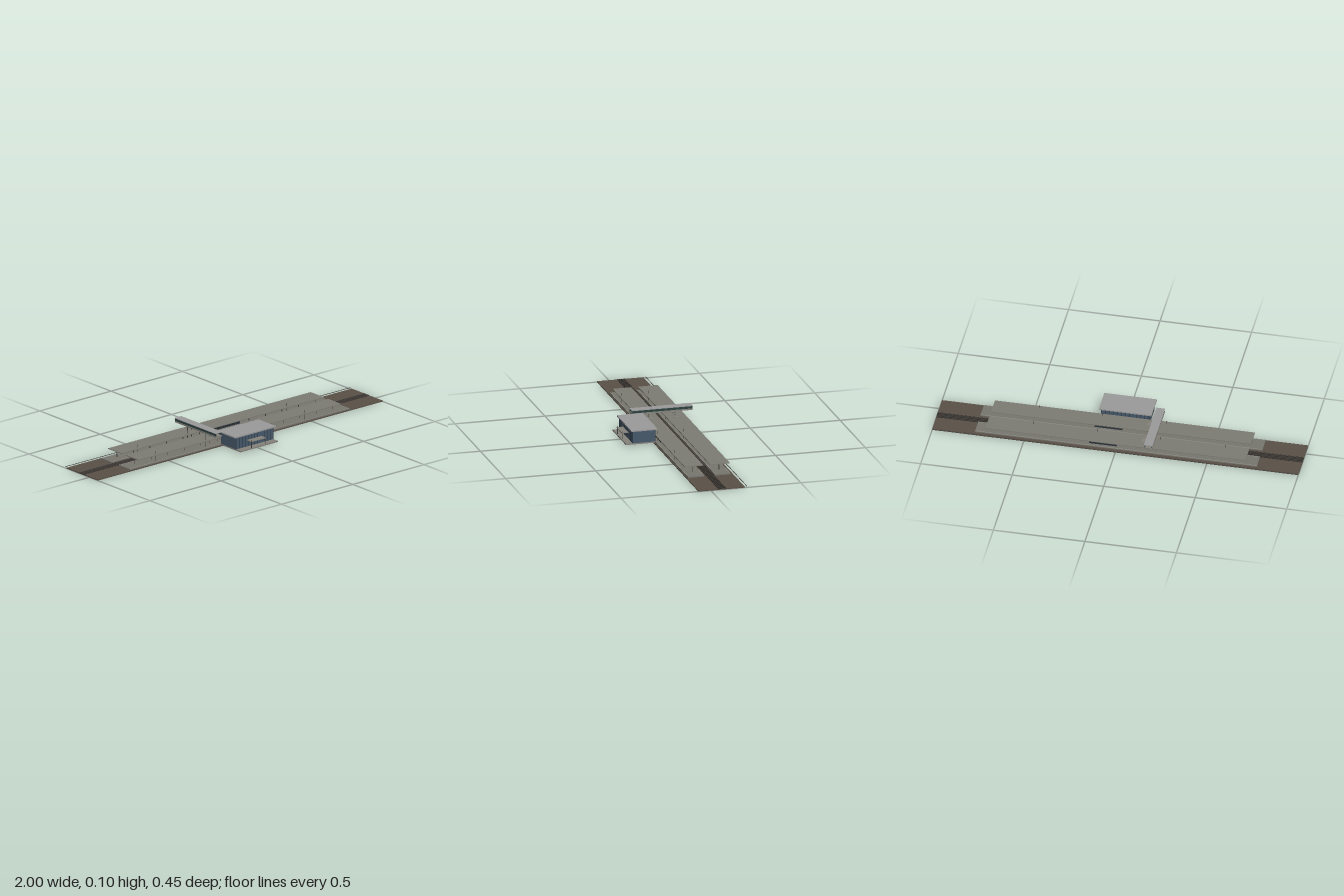
import * as THREE from 'three';

const paint = {
  ballast: 0x5a5046, bed: 0x2d2925, steel: 0x4a4744, platform: 0x77766f, edge: 0x8f8e86,
  canopy: 0x7d7d74, concrete: 0x85837c, roof: 0x9b9b9b, glass: 0x46596b, frame: 0x2f3a44,
  dark: 0x2a343b, green: 0x2c4240,
};
const mats = {};
for (const k in paint) mats[k] = new THREE.MeshStandardMaterial({ color: paint[k] });

// Box given by its limits on each axis
function block(parent, name, mat, [x0, x1], [y0, y1], [z0, z1]) {
  const m = new THREE.Mesh(new THREE.BoxGeometry(x1 - x0, y1 - y0, z1 - z0), mats[mat]);
  m.position.set((x0 + x1) / 2, (y0 + y1) / 2, (z0 + z1) / 2);
  m.name = name;
  parent.add(m);
  return m;
}

// Slim round post
function post(parent, name, x, z, y0, y1, r) {
  const m = new THREE.Mesh(new THREE.CylinderGeometry(r, r, y1 - y0, 8), mats.steel);
  m.position.set(x, (y0 + y1) / 2, z);
  m.name = name;
  parent.add(m);
}

function group(parent, name) {
  const g = new THREE.Group();
  g.name = name;
  parent.add(g);
  return g;
}

function buildTracks(parent) {
  const g = group(parent, 'tracks');
  block(g, 'ballast', 'ballast', [-1, 1], [0, 0.005], [-0.188, 0.07]);
  block(g, 'trackBed', 'bed', [-1, 1], [0.004, 0.0056], [-0.085, -0.04]);
  for (const z of [-0.079, -0.068, -0.057, -0.046])
    block(g, 'rail', 'steel', [-1, 1], [0.005, 0.0075], [z - 0.001, z + 0.001]);
  block(g, 'boundaryRail', 'steel', [-1, 1], [0.006, 0.0085], [-0.201, -0.199]);
}

// Platform with canopy, columns, lamps, shelter and stair
function buildPlatform(parent, name, base, cover, mid, lampZ) {
  const g = group(parent, name);
  block(g, 'platformSlab', 'platform', [-0.77, 0.77], [0.004, 0.012], base);
  for (const z of [base[0] + 0.002, base[1] - 0.002])
    block(g, 'platformEdge', 'edge', [-0.77, 0.77], [0.011, 0.0125], [z - 0.002, z + 0.002]);
  block(g, 'canopy', 'canopy', [-0.71, 0.71], [0.047, 0.051], cover);
  for (let i = 0; i < 13; i++)
    post(g, 'canopyColumn', -0.695 + i * 0.1158, mid, 0.012, 0.048, 0.0018);
  for (const x of [-0.58, -0.23, 0.117, 0.464]) post(g, 'lampPost', x, lampZ, 0.012, 0.067, 0.0012);

  // Waiting shelter
  block(g, 'shelter', 'dark', [0, 0.15], [0.012, 0.036], [mid - 0.023, mid + 0.023]);
  block(g, 'shelterRoof', 'concrete', [-0.002, 0.152], [0.036, 0.039], [mid - 0.024, mid + 0.024]);

  // Stair from the footbridge down to the platform
  const stair = group(g, 'stair');
  for (let i = 0; i < 10; i++) {
    const x = -0.168 + i * 0.0088, y = 0.074 - i * 0.0066;
    block(stair, 'stairTread', 'concrete', [x, x + 0.0095], [y - 0.0025, y], [mid - 0.018, mid + 0.018]);
  }
  for (const x of [-0.2, -0.173]) post(g, 'footbridgeLeg', x, mid, 0.012, 0.076, 0.002);
}

function buildFootbridge(parent) {
  const g = group(parent, 'footbridge');
  const z = [-0.227, 0.112];
  block(g, 'bridgeDeck', 'concrete', [-0.208, -0.165], [0.075, 0.083], z);
  for (const x of [-0.206, -0.169])
    block(g, 'bridgeSide', 'green', [x, x + 0.002], [0.083, 0.095], z);
  for (let i = 0; i < 8; i++)
    for (const x of [-0.205, -0.168])
      post(g, 'bridgeRoofPost', x, -0.222 + i * 0.047, 0.083, 0.098, 0.001);
  block(g, 'bridgeRoof', 'roof', [-0.21, -0.163], [0.097, 0.1], z);
}

function buildStation(parent) {
  const g = group(parent, 'stationBuilding');
  block(g, 'plinth', 'concrete', [-0.132, 0.13], [0.007, 0.014], [0.06, 0.227]);
  block(g, 'glassHall', 'glass', [-0.132, 0.13], [0.014, 0.081], [0.065, 0.19]);
  block(g, 'hallRoof', 'roof', [-0.147, 0.14], [0.081, 0.088], [0.055, 0.2]);
  for (let i = 0; i <= 12; i++) {
    const x = -0.131 + i * 0.02167;
    for (const z of [0.065, 0.19])
      block(g, 'mullion', 'frame', [x - 0.0012, x + 0.0012], [0.014, 0.081], [z - 0.001, z + 0.001]);
  }
  // Entrance porch
  block(g, 'porchRoof', 'concrete', [-0.055, 0.047], [0.047, 0.051], [0.188, 0.227]);
  for (const x of [-0.052, 0.044]) post(g, 'porchPost', x, 0.223, 0.014, 0.055, 0.0018);
}

export function createModel() {
  const model = new THREE.Group();
  model.name = 'railwayStation';
  buildTracks(model);
  buildPlatform(model, 'frontPlatform', [-0.027, 0.064], [-0.039, 0.065], 0.016, 0.05);
  buildPlatform(model, 'backPlatform', [-0.173, -0.088], [-0.186, -0.077], -0.131, -0.096);
  buildFootbridge(model);
  buildStation(model);
  return model;
}
